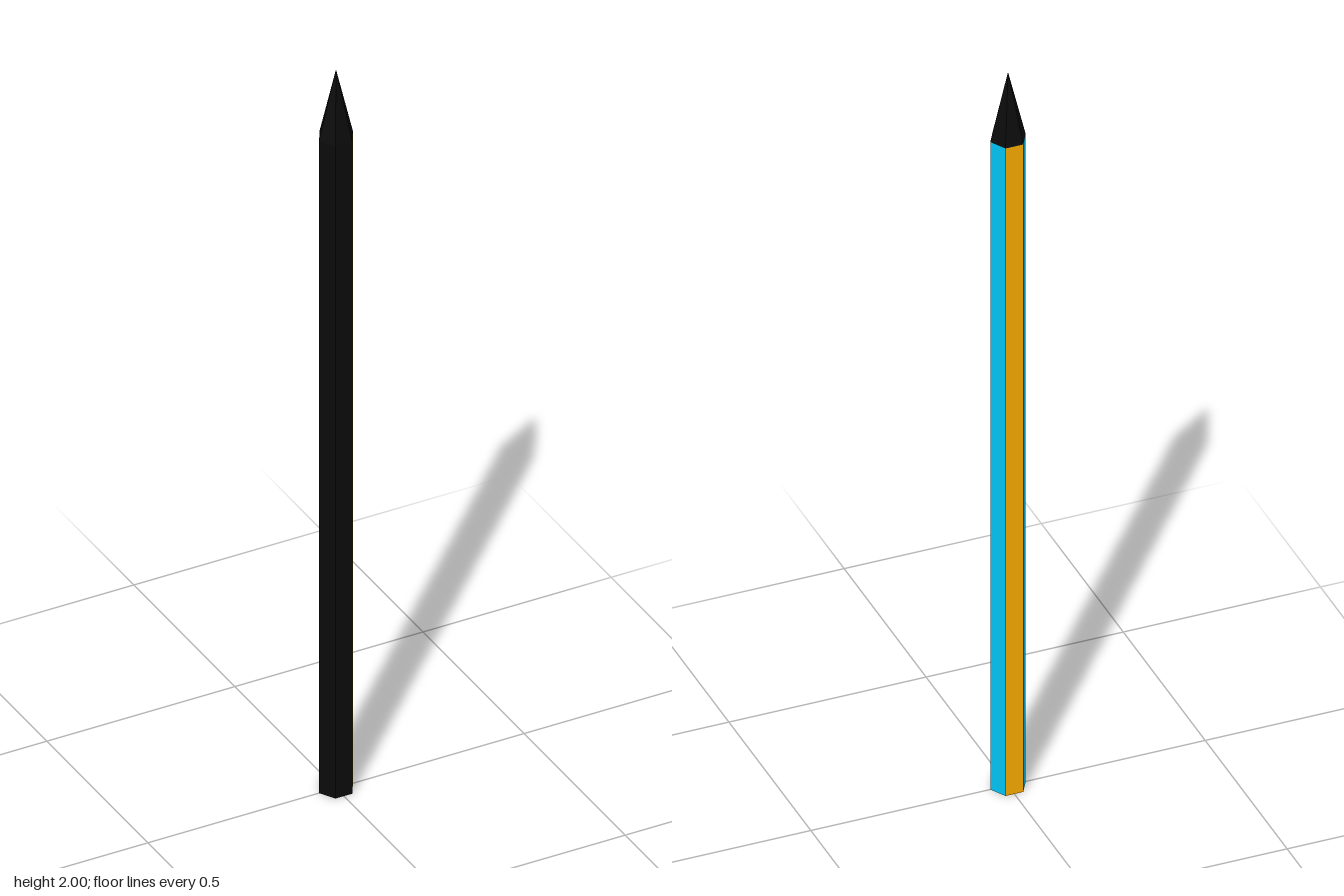
import * as THREE from 'three';

const RADIUS = 0.045, BODY_HEIGHT = 1.815, TOTAL_HEIGHT = 2;
const SIDE = Math.PI / 3;

function material(color) {
  return new THREE.MeshStandardMaterial({ color, flatShading: true });
}

export function createModel() {
  const model = new THREE.Group();
  const black = material(0x0a0a0a);
  const orange = material(0xf5a800);
  const cyan = material(0x00c4f5);

  const add = (name, geometry, mat, y) => {
    const mesh = new THREE.Mesh(geometry, mat);
    mesh.name = name;
    mesh.position.y = y;
    model.add(mesh);
  };

  // Six painted faces of the shaft, starting at the front and turning toward +x
  [black, orange, cyan, orange, cyan, black].forEach((mat, i) => {
    const panel = new THREE.CylinderGeometry(
      RADIUS, RADIUS, BODY_HEIGHT, 1, 1, true, (i - 0.5) * SIDE, SIDE);
    add(`shaftPanel${i + 1}`, panel, mat, BODY_HEIGHT / 2);
  });

  // Flat black end the shaft stands on
  const end = new THREE.CircleGeometry(RADIUS, 6).rotateX(Math.PI / 2);
  add('bottomEnd', end, black, 0);

  // Six-sided black point
  const tipHeight = TOTAL_HEIGHT - BODY_HEIGHT;
  const tip = new THREE.ConeGeometry(RADIUS, tipHeight, 6, 1, false, SIDE / 2);
  add('tip', tip, black, BODY_HEIGHT + tipHeight / 2);

  return model;
}
